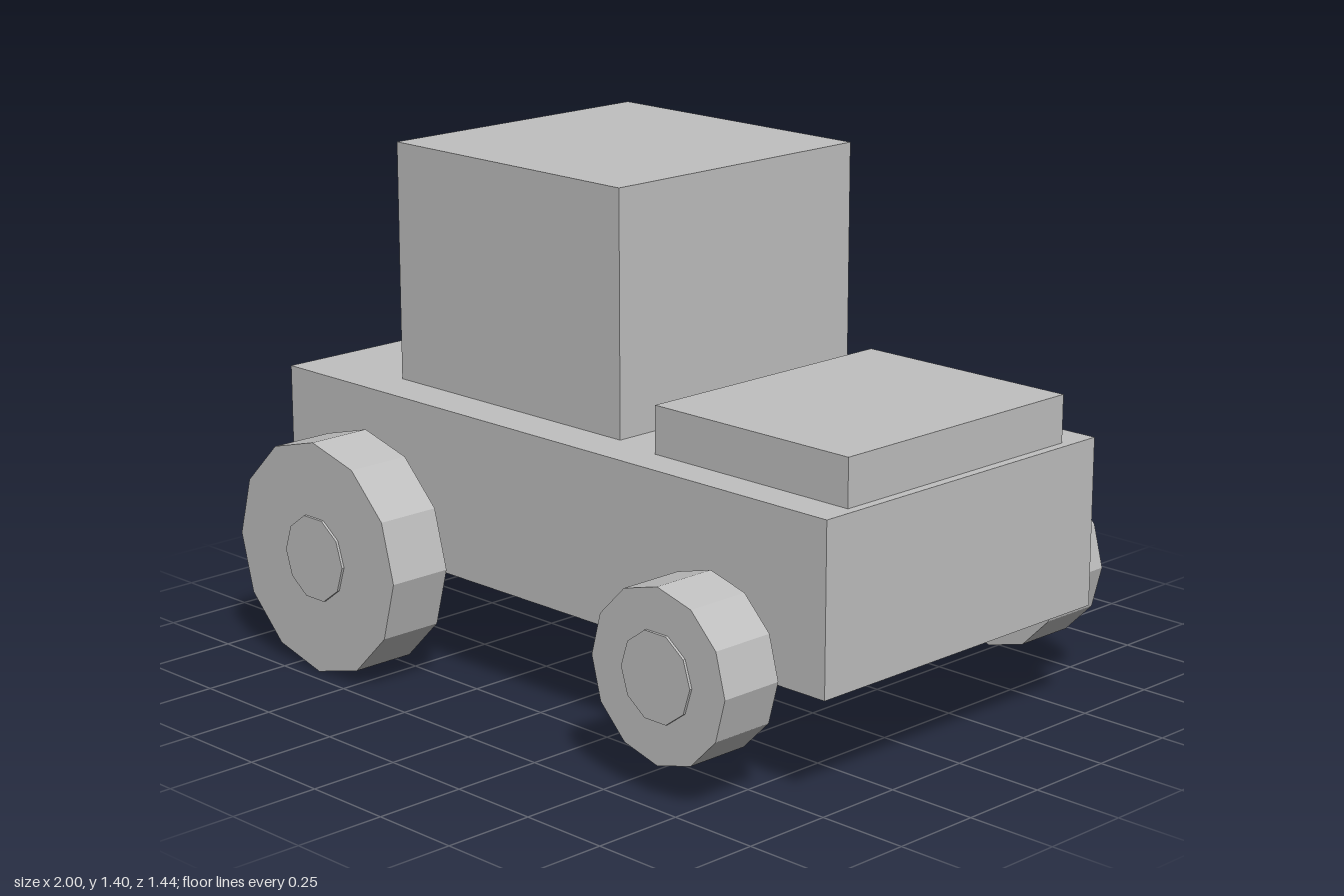
import * as THREE from 'three';

export function createModel() {
  const model = new THREE.Group();
  model.name = 'truck';

  const grey = new THREE.MeshStandardMaterial({ color: 0xc0c0c0, flatShading: true });
  grey.name = 'plain grey';

  // Box given by its lower and upper corners
  function box(name, [x0, y0, z0], [x1, y1, z1]) {
    const mesh = new THREE.Mesh(new THREE.BoxGeometry(x1 - x0, y1 - y0, z1 - z0), grey);
    mesh.position.set((x0 + x1) / 2, (y0 + y1) / 2, (z0 + z1) / 2);
    mesh.name = name;
    model.add(mesh);
  }

  box('chassis', [-1, 0.298, -0.5], [1, 0.748, 0.5]);
  box('cabin', [-0.678, 0.748, -0.476], [0.172, 1.398, 0.374]);
  box('hood', [0.325, 0.748, -0.4], [0.975, 0.875, 0.4]);

  // Faceted disc with its axle along z
  function disc(name, radius, width, sides, turn) {
    const geometry = new THREE.CylinderGeometry(radius, radius, width, sides);
    geometry.rotateX(Math.PI / 2).rotateZ(turn);
    const mesh = new THREE.Mesh(geometry, grey);
    mesh.name = name;
    return mesh;
  }

  // Large wheels at the -x end, small ones under the hood
  const axles = [
    { name: 'largeWheel', x: -0.65, radius: 0.32 },
    { name: 'smallWheel', x: 0.648, radius: 0.228 },
  ];
  for (const { name, x, radius } of axles) {
    for (const side of [-1, 1]) {
      const wheel = new THREE.Group();
      wheel.name = name;
      wheel.add(disc('tire', radius, 0.182, 12, 0));
      wheel.add(disc('hub', 0.118, 0.196, 10, Math.PI / 2)); // stands proud of both tire faces
      wheel.position.set(x, 0.322, side * 0.62);
      model.add(wheel);
    }
  }

  return model;
}
